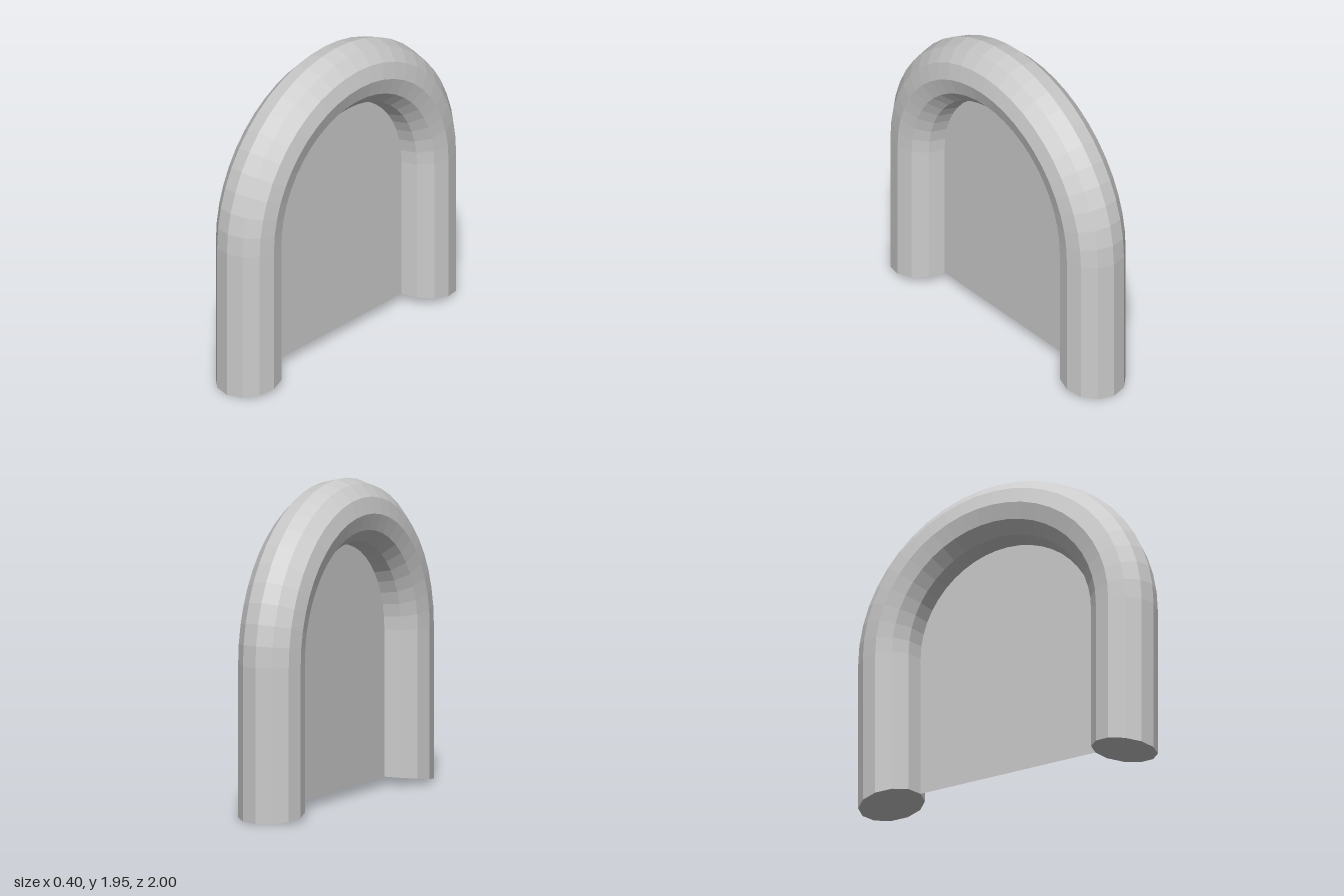
import * as THREE from 'three';

const SIDES = 12, STEPS = 24;
const TUBE = 0.2, RADIUS = 0.8, SPRING = 0.95;
// the feet are cut on a slight slant, lowest at the outer side
const footY = (reach) => (1 - reach) * 0.1375;

// Cross-sections swept up one leg, round the arch and down the other leg
function archGeometry() {
  const pos = [], index = [];
  const ring = (angle, foot) => {
    for (let j = 0; j < SIDES; j++) {
      const t = (j / SIDES) * Math.PI * 2;
      const reach = RADIUS + TUBE * Math.cos(t);
      pos.push(
        TUBE * Math.sin(t),
        foot ? footY(reach) : SPRING + reach * Math.sin(angle),
        reach * Math.cos(angle)
      );
    }
  };
  ring(0, true);
  for (let i = 0; i <= STEPS; i++) ring((i / STEPS) * Math.PI, false);
  ring(Math.PI, true);

  const rings = STEPS + 3;
  for (let i = 0; i < rings - 1; i++) {
    for (let j = 0; j < SIDES; j++) {
      const k = (j + 1) % SIDES;
      const a = i * SIDES + j, b = i * SIDES + k;
      const c = a + SIDES, d = b + SIDES;
      index.push(a, b, c, b, d, c);
    }
  }
  // flat end caps
  const last = (rings - 1) * SIDES;
  for (let j = 1; j < SIDES - 1; j++) {
    index.push(0, j + 1, j, last, last + j, last + j + 1);
  }
  const geo = new THREE.BufferGeometry();
  geo.setAttribute('position', new THREE.Float32BufferAttribute(pos, 3));
  geo.setIndex(index);
  const flat = geo.toNonIndexed();
  flat.computeVertexNormals();
  return flat;
}

// Thin sheet filling the opening, tucked slightly into the tube
function panelGeometry() {
  const r = RADIUS - TUBE + 0.005, bottom = footY(RADIUS - TUBE);
  const shape = new THREE.Shape();
  shape.moveTo(-r, bottom);
  shape.lineTo(r, bottom);
  for (let i = 0; i <= STEPS; i++) {
    const a = (i / STEPS) * Math.PI;
    shape.lineTo(r * Math.cos(a), SPRING + r * Math.sin(a));
  }
  return new THREE.ShapeGeometry(shape).rotateY(Math.PI / 2);
}

export function createModel() {
  const model = new THREE.Group();
  model.name = 'archWithPanel';

  const arch = new THREE.Mesh(
    archGeometry(),
    new THREE.MeshStandardMaterial({ color: 0xcccccc, flatShading: true })
  );
  arch.name = 'archTube';

  const panel = new THREE.Mesh(
    panelGeometry(),
    new THREE.MeshStandardMaterial({ color: 0xcccccc, side: THREE.DoubleSide })
  );
  panel.name = 'panel';

  model.add(arch, panel);
  return model;
}
